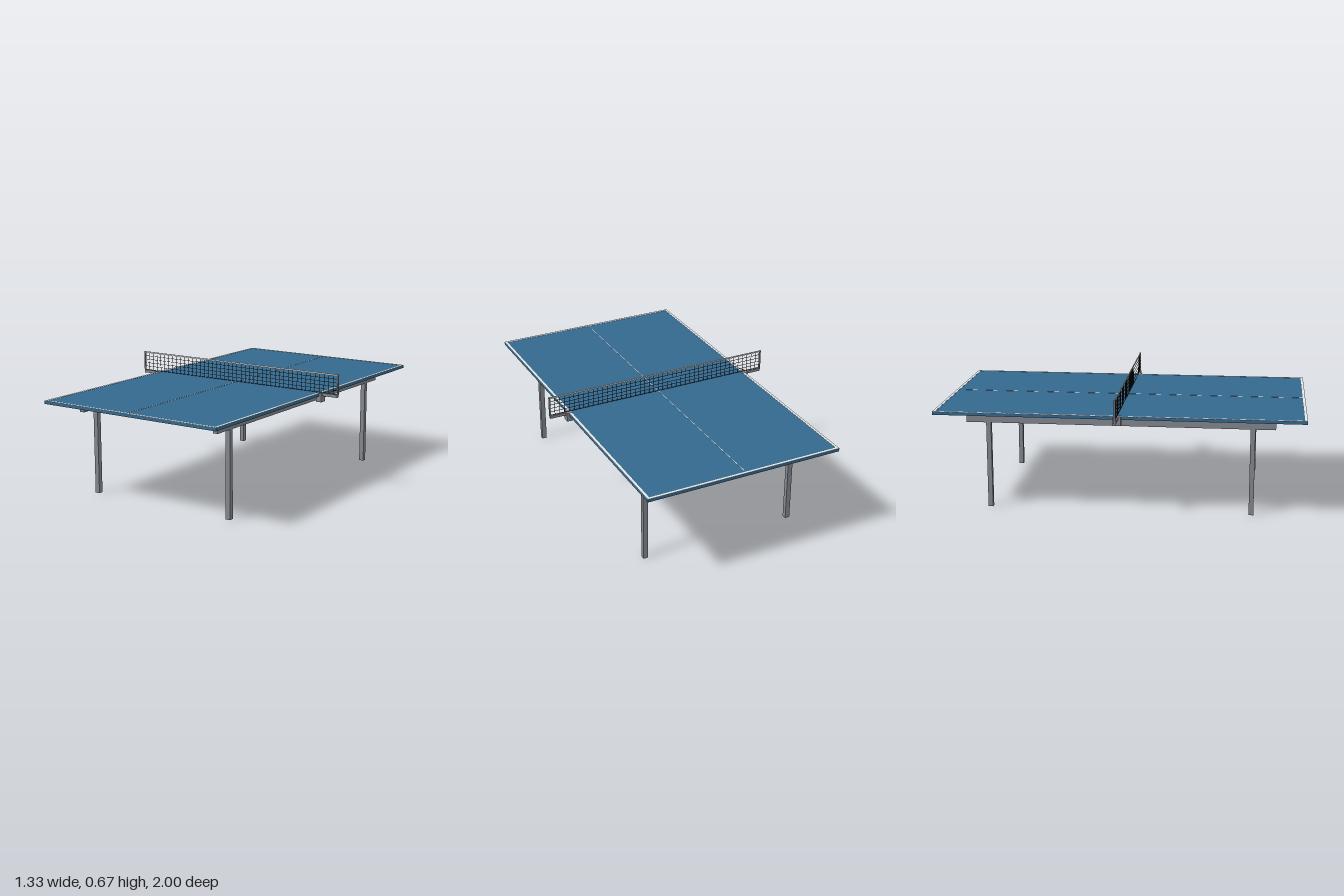
import * as THREE from 'three';

function mat(name, color) {
  const m = new THREE.MeshStandardMaterial({ color });
  m.name = name;
  return m;
}

export function createModel() {
  const blue = mat('table blue', 0x34698f);
  const white = mat('line white', 0xe6e6e6);
  const grey = mat('frame grey', 0x83878e);
  const black = mat('net black', 0x1c1c1e);

  const model = new THREE.Group();
  model.name = 'tableTennisTable';

  // Box from its size and centre
  const box = (name, material, [w, h, d], [x, y, z], parent = model) => {
    const mesh = new THREE.Mesh(new THREE.BoxGeometry(w, h, d), material);
    mesh.name = name;
    mesh.position.set(x, y, z);
    parent.add(mesh);
    return mesh;
  };

  const halfW = 0.555, top = 0.555, line = 0.014;

  // Table top
  box('tableTop', blue, [halfW * 2, 0.017, 2], [0, top - 0.0085, 0]);

  // Painted lines
  box('centreLine', white, [0.003, 0.002, 2 - line * 2], [0, top, 0]);
  for (const s of [-1, 1]) {
    box('sideLine', white, [line, 0.002, 2], [s * (halfW - line / 2), top, 0]);
    box('endLine', white, [(halfW - line) * 2, 0.002, line], [0, top, s * (1 - line / 2)]);
  }

  // Legs and long rails
  for (const s of [-1, 1]) {
    const side = s > 0 ? 'left' : 'right';
    box(side + 'Rail', grey, [0.027, 0.039, 1.676], [s * 0.437, 0.4975, 0]);
    for (const z of [-0.716, 0.716]) {
      box(side + 'Leg', grey, [0.027, 0.54, 0.026], [s * 0.437, 0.27, z]);
    }
  }

  // Net with clamps, arms and posts
  const net = new THREE.Group();
  net.name = 'net';
  model.add(net);
  for (const s of [-1, 1]) {
    box('clamp', grey, [0.032, 0.05, 0.044], [s * 0.5535, 0.532, 0], net);
    box('arm', grey, [0.1, 0.016, 0.016], [s * 0.611, 0.548, 0], net);
    box('post', grey, [0.008, 0.112, 0.009], [s * 0.661, 0.611, 0], net);
  }
  box('tape', white, [1.314, 0.008, 0.005], [0, 0.663, 0], net);

  // Mesh cords
  const columns = 46, rows = 5, netW = 1.32, low = 0.558, high = 0.662;
  for (let i = 1; i < columns; i++) {
    box('uprightCord', black, [0.002, high - low, 0.002], [(i / columns - 0.5) * netW, (low + high) / 2, 0], net);
  }
  for (let j = 0; j < rows; j++) {
    box('crossCord', black, [netW - 0.004, 0.002, 0.002], [0, low + ((high - low) * j) / rows, 0], net);
  }

  return model;
}
